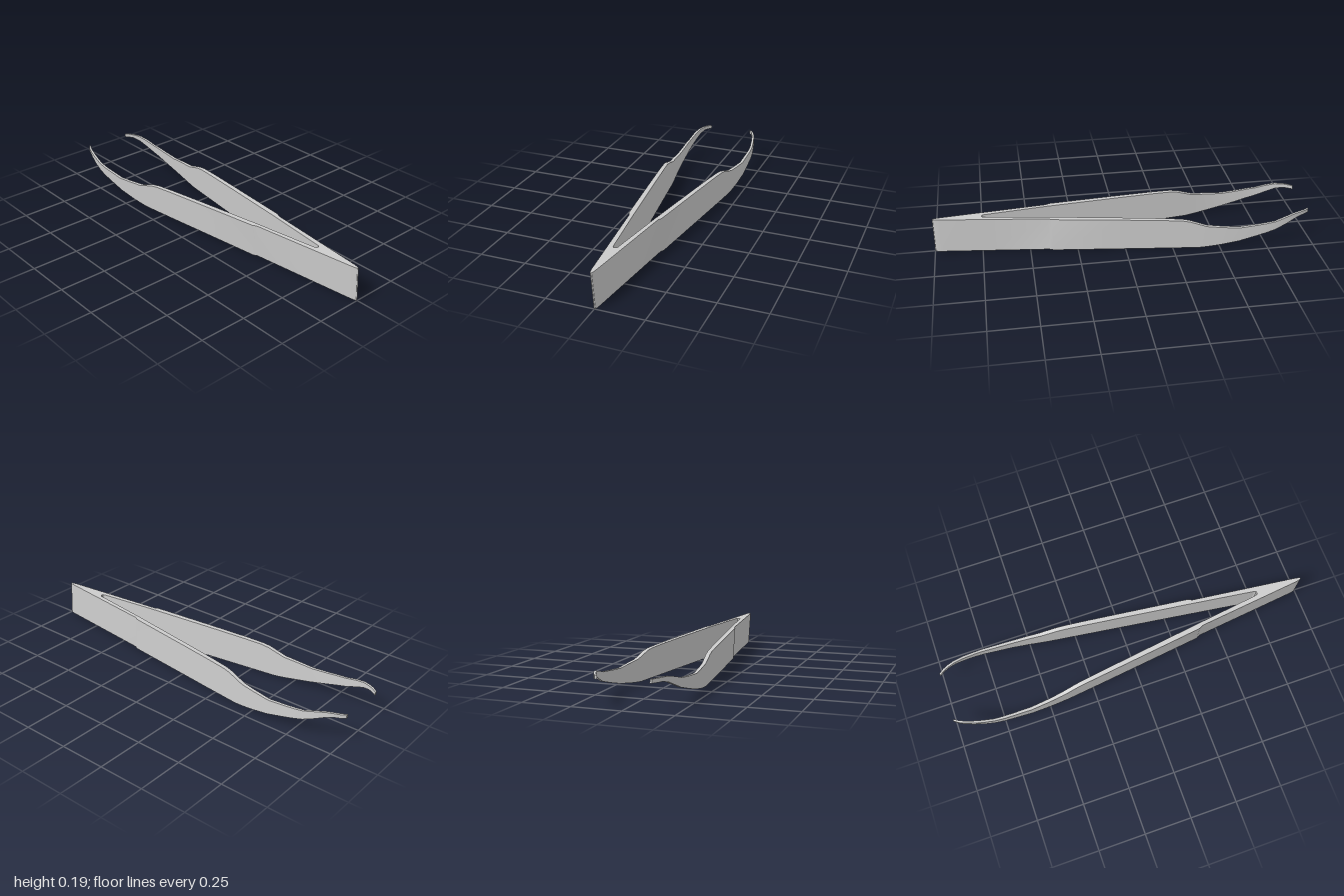
import * as THREE from 'three';
import { toCreasedNormals } from 'three/addons/utils/BufferGeometryUtils.js';

// Profiles along the length as [z, value], from the joined front end to the tips
const OUTER = [[1, 0], [0.997, 0.004], [0.985, 0.008], [0.96, 0.012], [0.4, 0.078], [0.38, 0.089],
  [-0.2, 0.162], [-0.4, 0.186], [-0.5, 0.196], [-0.6, 0.203], [-0.75, 0.204], [-0.8, 0.201], [-0.86, 0.193],
  [-0.91, 0.181], [-0.95, 0.167], [-0.975, 0.155], [-1, 0.137]];
const INNER = [[1, 0], [0.745, 0], [0.743, 0.007], [0.735, 0.012], [0.72, 0.014], [0.38, 0.06],
  [-0.4, 0.165], [-0.5, 0.178], [-0.6, 0.187], [-0.75, 0.19], [-0.8, 0.188], [-0.86, 0.179],
  [-0.91, 0.168], [-0.95, 0.154], [-0.975, 0.142], [-1, 0.126]];
const TOP = [[1, 0.186], [0.4, 0.18], [0, 0.17], [-0.2, 0.164], [-0.3, 0.159], [-0.34, 0.152], [-0.43, 0.123],
  [-0.5, 0.116], [-0.6, 0.107], [-0.7, 0.115], [-0.8, 0.126], [-0.86, 0.142], [-0.91, 0.153], [-0.95, 0.155], [-1, 0.153]];
const BOTTOM = [[1, 0], [-0.39, 0], [-0.45, 0.006], [-0.5, 0.013], [-0.6, 0.03], [-0.7, 0.054], [-0.8, 0.08],
  [-0.86, 0.104], [-0.91, 0.125], [-0.95, 0.135], [-1, 0.134]];
const LEAN = 0.06; // slight sideways lean of the whole tool

function sample(profile, z) {
  for (let i = 1; i < profile.length; i++) {
    const [z0, v0] = profile[i - 1], [z1, v1] = profile[i];
    if (z >= z1) return v0 + (v1 - v0) * (z0 - z) / (z0 - z1);
  }
  return profile[profile.length - 1][1];
}

// Loft four-cornered sections along one arm; side is +1 (left) or -1 (right)
function armGeometry(side) {
  const stations = [...new Set([OUTER, INNER, TOP, BOTTOM].flat().map(p => p[0]))].sort((a, b) => b - a);
  const rings = stations.map(z => {
    const i = sample(INNER, z), o = sample(OUTER, z), b = sample(BOTTOM, z), t = sample(TOP, z);
    return [[i, b], [o, b], [o, t], [i, t]].map(([x, y]) => [side * x - LEAN * y, y, z]);
  });
  const pos = [];
  const quad = (a, b, c, d) => {
    const order = side > 0 ? [a, b, c, a, c, d] : [a, c, b, a, d, c];
    order.forEach(p => pos.push(...p));
  };
  for (let i = 0; i < rings.length - 1; i++) {
    const joined = stations[i + 1] >= 0.745; // no inner wall in the solid front end
    for (let k = 0; k < (joined ? 3 : 4); k++) {
      const n = (k + 1) % 4;
      quad(rings[i][k], rings[i + 1][k], rings[i + 1][n], rings[i][n]);
    }
  }
  // Tip cap
  const [a, b, c, d] = rings[rings.length - 1];
  quad(a, d, c, b);
  const g = new THREE.BufferGeometry();
  g.setAttribute('position', new THREE.Float32BufferAttribute(pos, 3));
  return toCreasedNormals(g, 0.4);
}

export function createModel() {
  const model = new THREE.Group();
  model.name = 'tweezers';
  const material = new THREE.MeshStandardMaterial({ color: 0xcccccc });
  for (const side of [1, -1]) {
    const arm = new THREE.Mesh(armGeometry(side), material);
    arm.name = side > 0 ? 'leftArm' : 'rightArm';
    model.add(arm);
  }
  return model;
}
